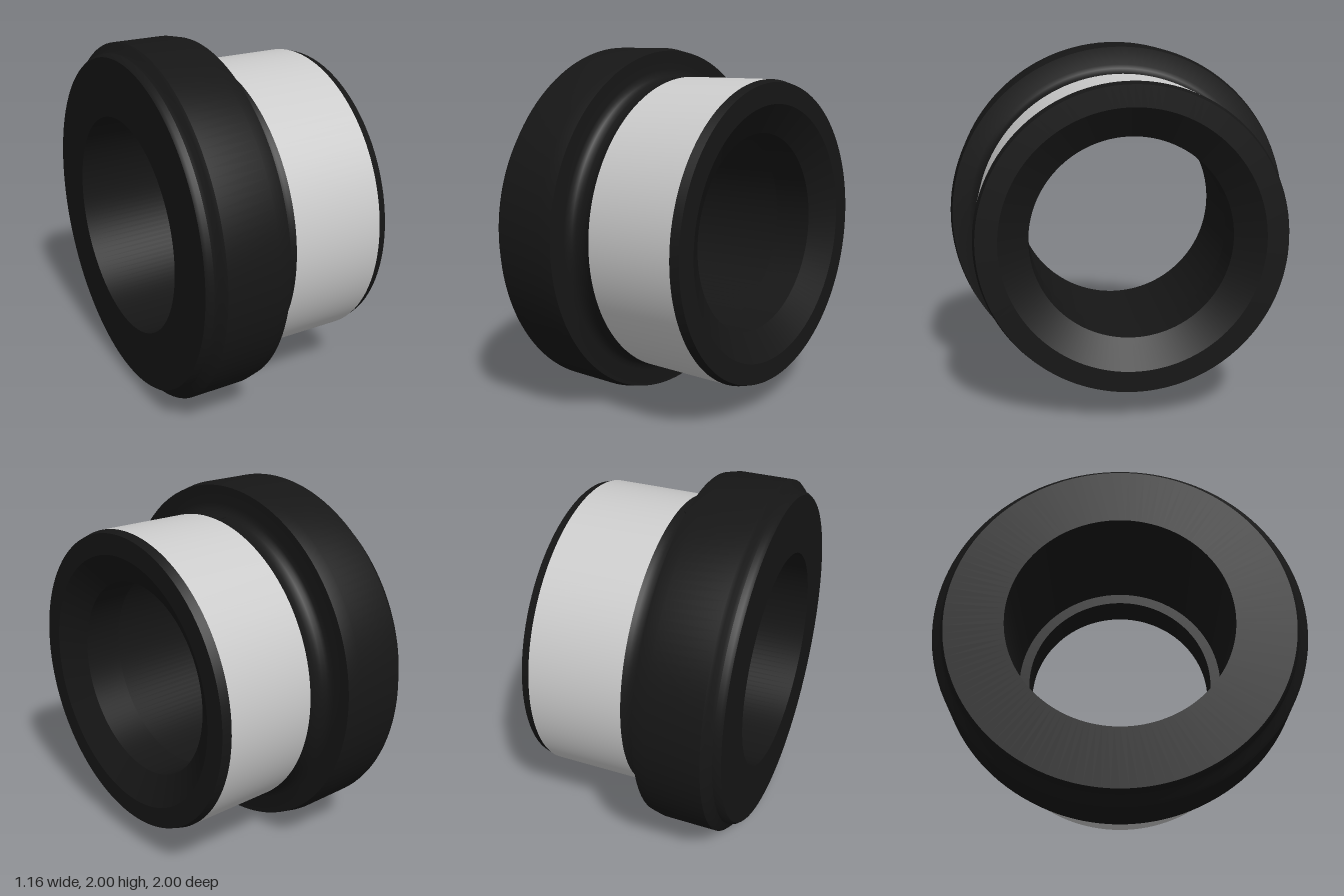
import * as THREE from 'three';
import { toCreasedNormals } from 'three/addons/utils/BufferGeometryUtils.js';

const SEGMENTS = 128;

function material(color) {
  return new THREE.MeshStandardMaterial({ color });
}

// Revolves [radius, position along x] points around the tube axis
function revolved(name, profile, mat) {
  const points = profile.map(([r, x]) => new THREE.Vector2(r, x));
  const geometry = toCreasedNormals(new THREE.LatheGeometry(points, SEGMENTS), 0.5);
  geometry.rotateZ(-Math.PI / 2);
  const mesh = new THREE.Mesh(geometry, mat);
  mesh.name = name;
  mesh.position.y = 1;
  return mesh;
}

export function createModel() {
  const group = new THREE.Group();
  group.name = 'adapterRing';
  const black = material(0x161616);
  const silver = material(0xcccccc);

  // Wide rear flange with stepped rim, then the rounded groove
  group.add(revolved('flange', [
    [0.61, -0.58], [0.93, -0.58], [0.942, -0.565], [0.947, -0.54],
    [0.96, -0.525], [0.985, -0.51], [1.0, -0.495],
    [1.0, -0.2], [0.985, -0.13], [0.885, -0.13],
    [0.862, -0.125], [0.845, -0.112], [0.833, -0.093], [0.828, -0.07],
    [0.826, -0.045], [0.831, -0.02], [0.84, 0],
  ], black));

  // Smooth metal sleeve
  group.add(revolved('sleeve', [[0.84, 0], [0.84, 0.53]], silver));

  // Chamfered front lip with a shallow conical mouth
  group.add(revolved('frontLip', [
    [0.84, 0.53], [0.826, 0.577], [0.71, 0.577], [0.55, 0.48],
  ], black));

  // Stepped inner bore, narrow at the lip and wider behind
  group.add(revolved('bore', [
    [0.55, 0.48], [0.55, 0.26], [0.61, 0.26], [0.61, -0.58],
  ], black));

  // Small set screw in the top of the groove
  const screw = new THREE.Mesh(new THREE.CylinderGeometry(0.05, 0.05, 0.04, 32), black);
  screw.name = 'setScrew';
  screw.position.set(-0.065, 1.812, 0);
  group.add(screw);

  return group;
}
